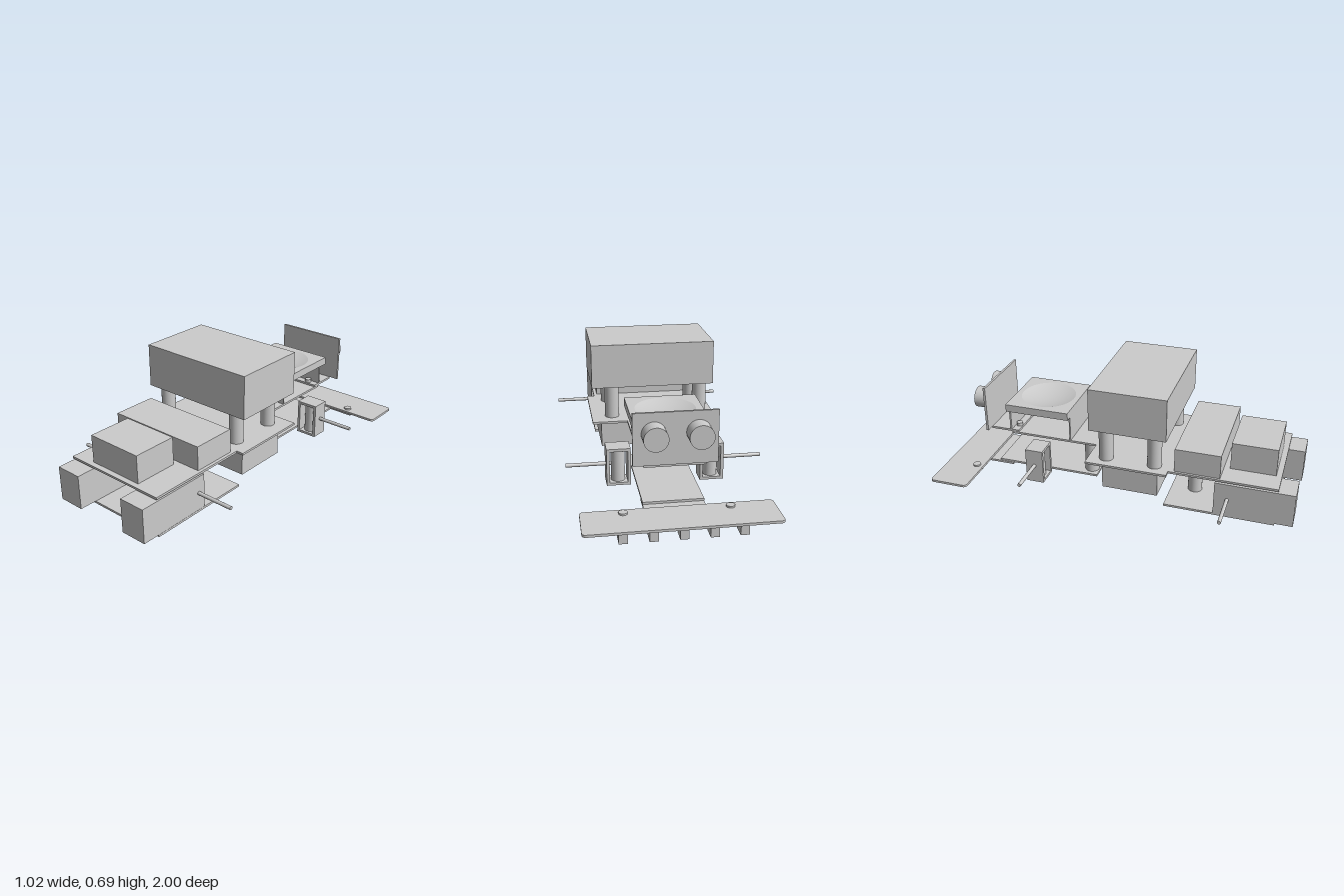
import * as THREE from 'three';

const material = new THREE.MeshStandardMaterial({ color: 0xcccccc });
const thinMaterial = new THREE.MeshStandardMaterial({ color: 0xcccccc, side: THREE.DoubleSide });

export function createModel() {
  const model = new THREE.Group();
  model.name = 'wheellessRobotChassis';

  const add = (name, geometry, mat = material) => {
    const mesh = new THREE.Mesh(geometry, mat);
    mesh.name = name;
    model.add(mesh);
    return mesh;
  };
  // Box given by its limits on each axis
  const box = (name, x0, x1, y0, y1, z0, z1) =>
    add(name, new THREE.BoxGeometry(x1 - x0, y1 - y0, z1 - z0))
      .position.set((x0 + x1) / 2, (y0 + y1) / 2, (z0 + z1) / 2);
  // Upright cylinder between two heights
  const post = (name, x, z, r, y0, y1, sides = 32) =>
    add(name, new THREE.CylinderGeometry(r, r, y1 - y0, sides)).position.set(x, (y0 + y1) / 2, z);
  // Horizontal plate from a plan outline of [x, z] points
  const plate = (name, outline, y0, y1) => {
    const shape = new THREE.Shape(outline.map(([x, z]) => new THREE.Vector2(x, -z)));
    const g = new THREE.ExtrudeGeometry(shape, { depth: y1 - y0, bevelEnabled: false });
    add(name, g.rotateX(-Math.PI / 2).translate(0, y0, 0));
  };
  // Mirrored plan outline from its +x half
  const mirrored = (half) => [...half, ...half.map(([x, z]) => [-x, z]).reverse()];

  // Decks
  plate('upperDeck', mirrored([[0.302, 0.91], [0.302, 0.33], [0.343, 0.33], [0.343, -0.12], [0.153, -0.12], [0.153, -0.63]]), 0.255, 0.267);
  box('frontLowerDeck', -0.302, 0.302, 0.044, 0.056, 0.31, 0.905);
  box('rearLowerDeck', -0.153, 0.153, 0.056, 0.068, -0.72, -0.12);

  // Front drive units, their spacers and axles
  for (const s of [-1, 1]) {
    const [a, b] = s < 0 ? [-0.303, -0.154] : [0.152, 0.301];
    box('frontMotor', a, b, 0.056, 0.245, 0.58, 1);
    post('motorSpacer', s * 0.225, 0.825, 0.04, 0.245, 0.255);
  }
  const axle = (s, y, z) => {
    const g = new THREE.CylinderGeometry(0.01, 0.01, 0.25, 20).rotateZ(Math.PI / 2);
    add('axle', g).position.set(s * 0.385, y, z);
  };
  axle(1, 0.152, 0.62);
  axle(-1, 0.152, 0.65);

  // Rear axle brackets: open frames with an upright post inside
  for (const s of [-1, 1]) {
    const wall = new THREE.Shape([[0.18, 0.056], [0.304, 0.056], [0.304, 0.255], [0.18, 0.255]].map(p => new THREE.Vector2(...p)));
    wall.holes.push(new THREE.Path([[0.195, 0.07], [0.195, 0.24], [0.288, 0.24], [0.288, 0.07]].map(p => new THREE.Vector2(...p))));
    const frame = add('rearBracket', new THREE.ExtrudeGeometry(wall, { depth: 0.1, bevelEnabled: false }));
    frame.position.z = -0.485;
    if (s < 0) { frame.rotation.y = Math.PI; frame.position.z = -0.385; }
    post('bracketPost', s * 0.242, -0.435, 0.036, 0.07, 0.24);
    axle(s, 0.16, -0.435);
  }

  // Posts between decks
  for (const x of [-0.102, 0.078]) post('frontDeckPost', x, 0.44, 0.039, 0.056, 0.255);
  for (const x of [-0.09, 0.09]) post('rearDeckPost', x, -0.168, 0.04, 0.068, 0.255);

  // Modules on and under the upper deck
  box('hangingBox', -0.29, 0.29, 0.093, 0.255, -0.04, 0.27);
  box('middleModule', -0.29, 0.284, 0.267, 0.4, 0.36, 0.605);
  box('frontModule', -0.175, 0.148, 0.267, 0.42, 0.637, 0.88);
  box('batteryBox', -0.327, 0.343, 0.455, 0.694, -0.1, 0.322);
  for (const x of [-0.265, 0.229])
    for (const z of [0.247, -0.023]) post('batteryPost', x, z, 0.039, 0.267, 0.455);

  // Raised platform with a shallow round dish in its top
  const top = new THREE.Shape([[-0.19, -0.185], [0.188, -0.185], [0.188, 0.185], [-0.19, 0.185]].map(p => new THREE.Vector2(...p)));
  top.holes.push(new THREE.Path().absarc(0, 0, 0.155, 0, Math.PI * 2, true));
  const topGeometry = new THREE.ExtrudeGeometry(top, { depth: 0.035, bevelEnabled: false, curveSegments: 32 });
  add('platformTop', topGeometry.rotateX(-Math.PI / 2)).position.set(0, 0.42, -0.457);
  box('platformBase', -0.19, 0.188, 0.412, 0.42, -0.642, -0.272);
  const dish = Array.from({ length: 13 }, (_, i) => {
    const r = 0.155 * i / 12;
    return new THREE.Vector2(r, -0.025 * (1 - (r / 0.155) ** 2));
  });
  add('dish', new THREE.LatheGeometry(dish, 64), thinMaterial).position.set(0, 0.455, -0.457);
  box('platformFrontLeg', -0.152, 0.152, 0.267, 0.412, -0.28, -0.272);
  box('platformRearLeg', -0.152, 0.152, 0.267, 0.412, -0.642, -0.632);

  // Rear distance sensor on its shelf
  box('sensorShelf', -0.152, 0.152, 0.267, 0.279, -0.757, -0.59);
  box('sensorPanel', -0.206, 0.206, 0.28, 0.545, -0.766, -0.753);
  for (const x of [-0.11, 0.105]) {
    const g = new THREE.CylinderGeometry(0.06, 0.06, 0.08, 40).rotateX(Math.PI / 2);
    add('sensorEye', g).position.set(x, 0.44, -0.806);
  }
  for (const x of [-0.09, 0.09]) post('shelfScrew', x, -0.61, 0.018, 0.252, 0.298, 16);

  // T-shaped link carrying the rounded sensor bar
  plate('barLink', mirrored([[0.153, -0.64], [0.153, -0.79], [0.3, -0.79], [0.3, -0.855]]), 0.042, 0.054);
  const [x0, x1, z0, z1, r] = [-0.48, 0.465, 0.78, 1, 0.02];
  const bar = new THREE.Shape();
  bar.absarc(x1 - r, z0 + r, r, -Math.PI / 2, 0);
  bar.absarc(x1 - r, z1 - r, r, 0, Math.PI / 2);
  bar.absarc(x0 + r, z1 - r, r, Math.PI / 2, Math.PI);
  bar.absarc(x0 + r, z0 + r, r, Math.PI, Math.PI * 1.5);
  add('sensorBar', new THREE.ExtrudeGeometry(bar, { depth: 0.013, bevelEnabled: false, curveSegments: 6 }).rotateX(-Math.PI / 2))
    .position.y = 0.055;
  for (const x of [-0.26, 0.26]) post('barScrew', x, -0.82, 0.022, 0.054, 0.077, 20);
  for (let i = 0; i < 5; i++) {
    const x = -0.291 + i * 0.1422;
    box('lineSensor', x - 0.021, x + 0.021, 0, 0.055, -0.984, -0.914);
  }
  return model;
}
